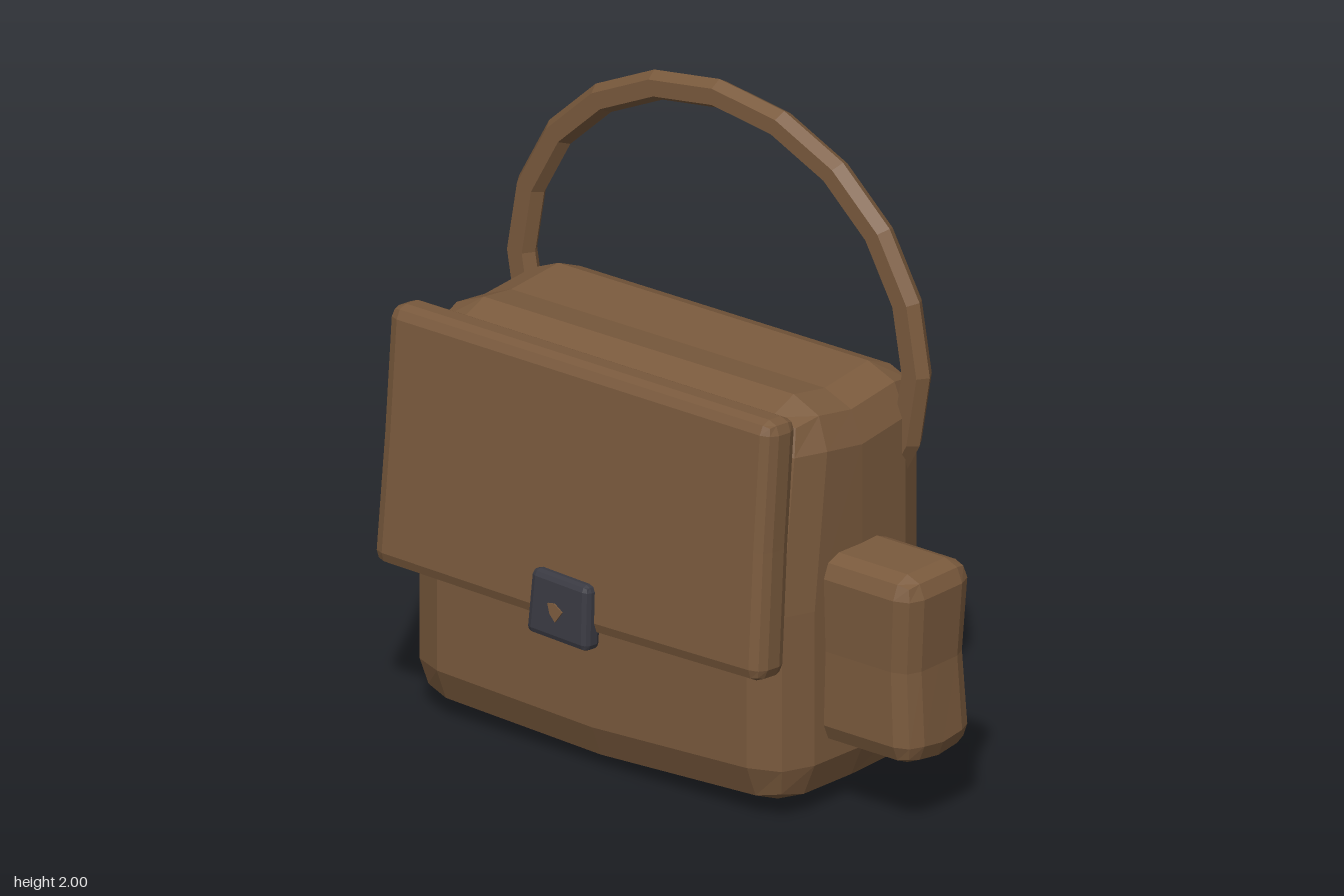
import * as THREE from 'three';

// Box with rounded two-facet edges; warp(v) bends it out of true afterwards
function softBox(w, h, d, r, warp) {
  const geo = new THREE.BoxGeometry(2, 2, 2, 4, 4, 4);
  const half = [w / 2, h / 2, d / 2];
  const pos = geo.attributes.position;
  const v = new THREE.Vector3(), core = new THREE.Vector3();
  for (let i = 0; i < pos.count; i++) {
    v.fromBufferAttribute(pos, i);
    core.set(0, 0, 0);
    for (let k = 0; k < 3; k++) {
      const t = v.getComponent(k), s = Math.sign(Math.round(t * 2));
      core.setComponent(k, s * (half[k] - r));
      v.setComponent(k, Math.abs(t) > 0.9 ? s : 0);
    }
    v.normalize().multiplyScalar(r).add(core);
    if (warp) warp(v);
    pos.setXYZ(i, v.x, v.y, v.z);
  }
  geo.computeVertexNormals();
  return geo;
}

export function createModel() {
  const group = new THREE.Group();
  const leather = new THREE.MeshStandardMaterial({ color: 0x7a5a3d, flatShading: true });
  const metal = new THREE.MeshStandardMaterial({ color: 0x3a3a42, flatShading: true });
  leather.name = 'brown leather';
  metal.name = 'dark metal';

  const add = (name, geo, mat, x, y, z, tilt = 0) => {
    const mesh = new THREE.Mesh(geo, mat);
    mesh.name = name;
    mesh.position.set(x, y, z);
    mesh.rotation.x = tilt;
    group.add(mesh);
    return mesh;
  };

  // Bag body: sagging bottom, front leaning back towards the top
  add('body', softBox(1.45, 1.25, 0.69, 0.14, (v) => {
    const middle = 1 - Math.min(1, Math.abs(v.x) / 0.58);
    if (v.y < -0.4) v.y -= 0.025 * middle;
    if (v.y > 0.4) v.y -= 0.02 * (1 - Math.min(1, Math.abs(v.z) / 0.2));
    if (v.z > 0.1 && v.y > 0) v.z -= 0.07 * v.y / 0.6;
    v.z -= 0.008 * v.x;
    if (Math.abs(v.z) < 0.1) v.x *= 1.012;
  }), leather, -0.135, 0.65, -0.08);

  // Front flap, leaning out at its lower edge
  add('flap', softBox(1.46, 0.8, 0.132, 0.04, (v) => {
    if (v.y < 0) v.x *= 1.01;
    if (v.y < -0.3) v.y -= 0.01 * (1 - Math.min(1, Math.abs(v.x) / 0.69));
  }), leather, -0.133, 0.897, 0.293, -0.083);

  // Clasp plate with a small diamond stud
  add('clasp', softBox(0.225, 0.2, 0.07, 0.02, (v) => {
    v.x += 0.04 * v.y * Math.sign(-v.x) + 0.005;
    v.y -= 0.04 * v.x;
  }), metal, -0.14, 0.555, 0.387, -0.083);
  const stud = new THREE.Shape([[-0.03, 0.022], [-0.02, -0.008], [0.002, -0.03], [0.027, 0.006], [-0.005, 0.026]]
    .map(([x, y]) => new THREE.Vector2(x, y)));
  add('claspStud', new THREE.ExtrudeGeometry(stud, { depth: 0.006, bevelEnabled: false }),
    leather, -0.14, 0.55, 0.421, -0.083);

  // Side pocket, pinched at half height
  add('sidePocket', softBox(0.44, 0.59, 0.3, 0.065, (v) => {
    if (Math.abs(v.y) < 0.1) { v.x -= 0.015; v.z *= 0.95; }
    if (v.y < -0.2) v.y -= 0.012 * (1 - Math.min(1, Math.abs(v.z) / 0.09));
  }), leather, 0.7, 0.51, -0.07);

  // Arched strap with six-sided section; the ends run into the body
  const profile = [[0.7, 0], [0.722, -0.035], [0.778, -0.035], [0.8, 0],
    [0.778, 0.035], [0.722, 0.035], [0.7, 0]].map(([x, y]) => new THREE.Vector2(x, y));
  const arch = new THREE.LatheGeometry(profile, 14, -Math.PI * 0.7, Math.PI * 1.4);
  arch.rotateX(-Math.PI / 2);
  arch.scale(1, 0.9125, 1);
  add('strap', arch, leather, -0.133, 1.27, -0.31);

  return group;
}
